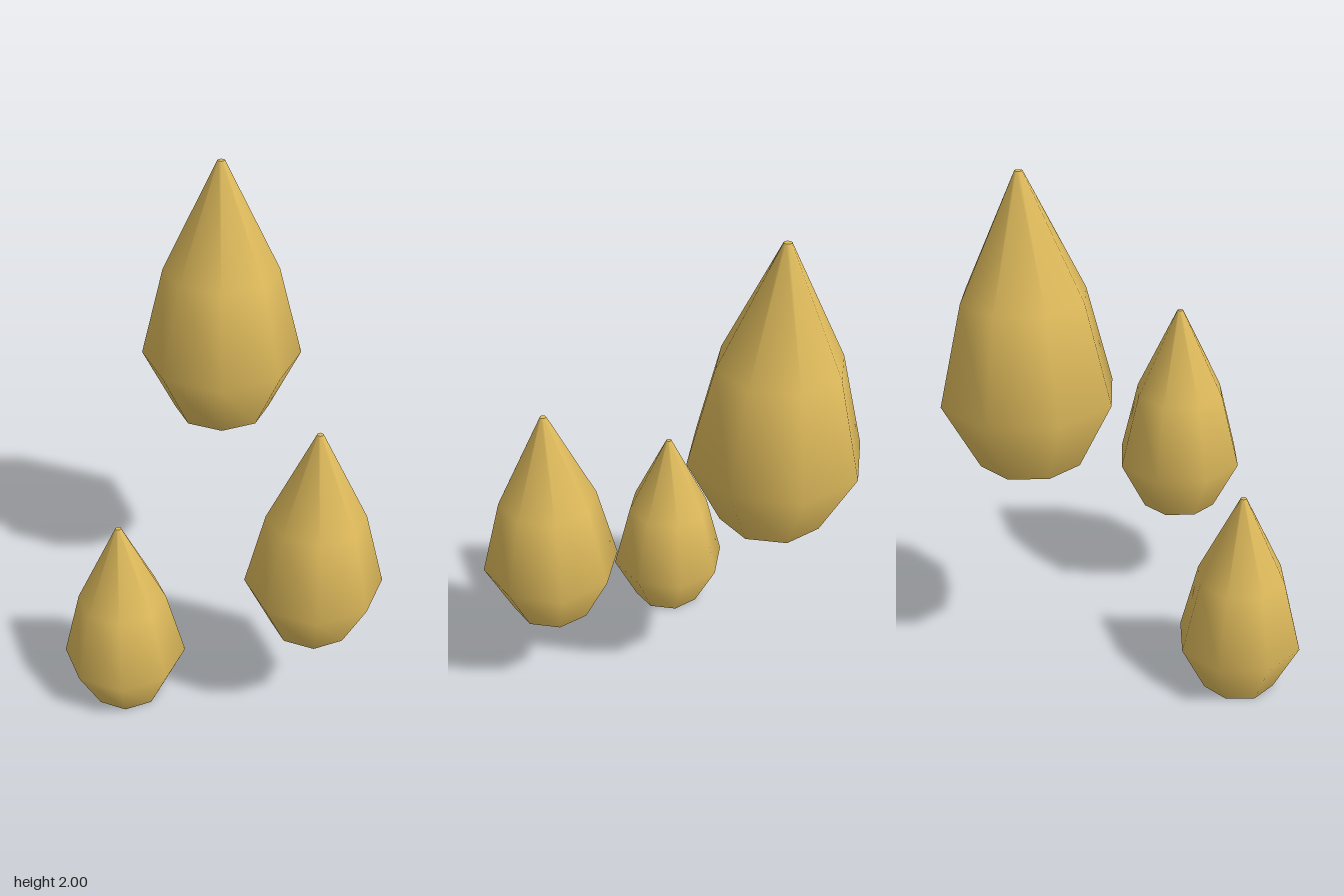
import * as THREE from 'three';

// Drop outline: [radius factor, height factor], bottom to top
const PROFILE = [[0.6, 0], [1, 0.242], [0.71, 0.588], [0.045, 1]];
const SIDES = 8;

// name, x, base y, z, widest radius, height
const DROPS = [
  ['largeDrop', -0.364, 0.935, -0.34, 0.324, 1.065],
  ['mediumDrop', 0.421, 0.412, -0.048, 0.263, 0.865],
  ['smallDrop', -0.16, 0, 0.418, 0.242, 0.805],
];

export function createModel() {
  const gold = new THREE.MeshStandardMaterial({ color: 0xdfbb5c });
  gold.name = 'gold';
  const model = new THREE.Group();
  model.name = 'goldenDrops';

  for (const [name, x, y, z, radius, height] of DROPS) {
    const drop = new THREE.Group();
    drop.name = name;
    drop.position.set(x, y, z);

    const add = (part, geometry, partY = 0) => {
      const mesh = new THREE.Mesh(geometry, gold);
      mesh.name = part;
      mesh.position.y = partY;
      drop.add(mesh);
    };

    // Smooth eight-sided body
    const points = PROFILE.map(([r, h]) => new THREE.Vector2(r * radius, h * height));
    add('body', new THREE.LatheGeometry(points, SIDES));

    // Flat base and small flat tip
    add('base', new THREE.CircleGeometry(points[0].x, SIDES).rotateX(Math.PI / 2));
    add('tip', new THREE.CircleGeometry(points[3].x, SIDES).rotateX(-Math.PI / 2), height);

    model.add(drop);
  }
  return model;
}
